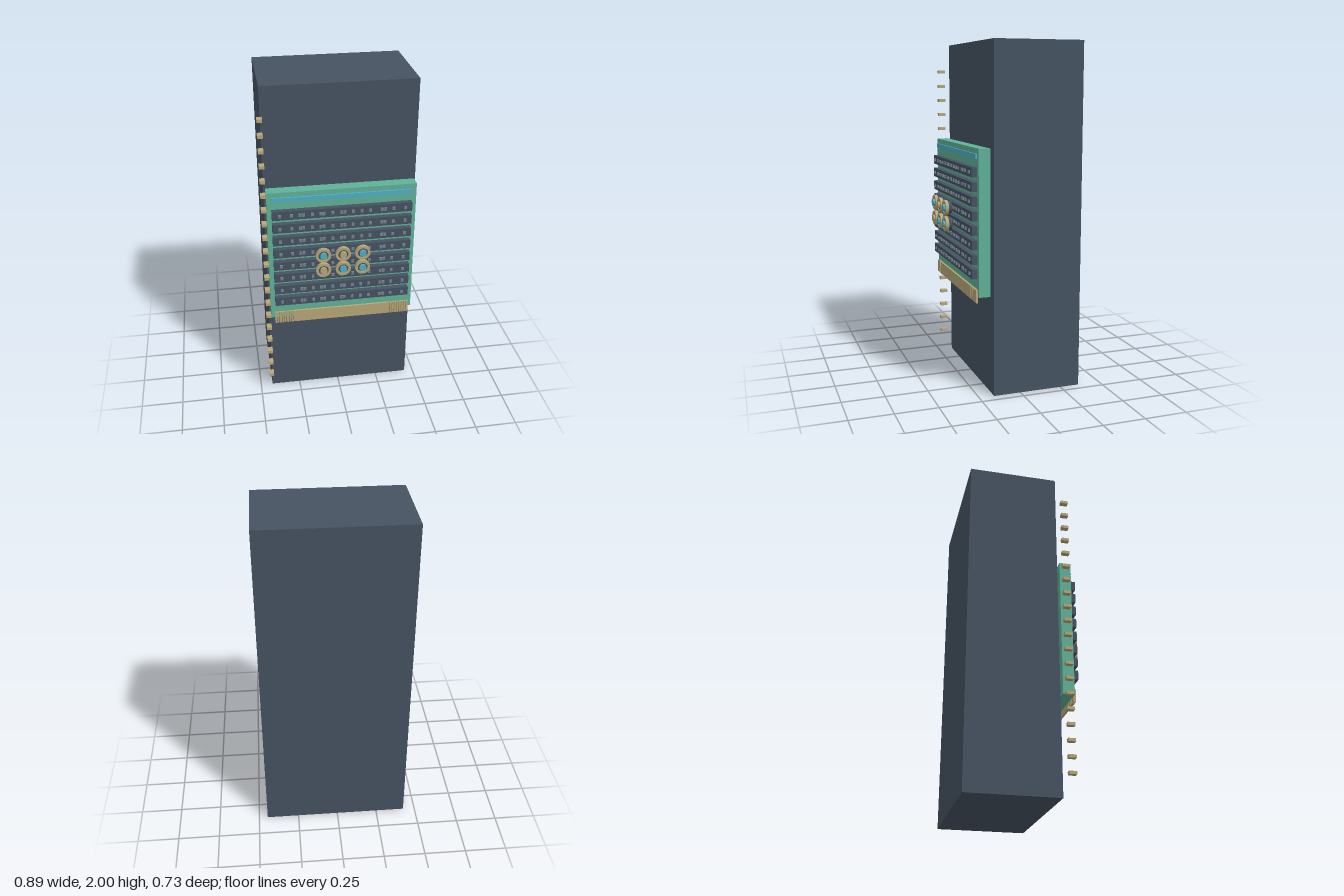
import * as THREE from 'three';

const paint = (name, color) => Object.assign(new THREE.MeshStandardMaterial({ color }), { name });

export function createModel() {
  const model = new THREE.Group();
  model.name = 'circuitCabinet';
  const slate = paint('slate', 0x465362);
  const grey = paint('grey', 0x74828f);
  const green = paint('green', 0x60b298);
  const gold = paint('gold', 0xb8a878);
  const blue = paint('blue', 0x4fb0c8);

  // Box given by its min and max corners
  const box = (name, mat, [x0, y0, z0], [x1, y1, z1], parent = model) => {
    const mesh = new THREE.Mesh(new THREE.BoxGeometry(x1 - x0, y1 - y0, z1 - z0), mat);
    mesh.position.set((x0 + x1) / 2, (y0 + y1) / 2, (z0 + z1) / 2);
    mesh.name = name;
    parent.add(mesh);
    return mesh;
  };
  const group = (name) => {
    const g = new THREE.Group();
    g.name = name;
    model.add(g);
    return g;
  };

  // Cabinet and the board in front of it
  box('cabinet', slate, [-0.427, 0, -0.366], [0.447, 2, 0.161]);
  box('board', green, [-0.418, 0.583, 0.179], [0.437, 1.414, 0.246]);
  box('lightStrip', blue, [-0.392, 1.357, 0.246], [0.409, 1.384, 0.255]);

  // Column of side pins
  const pins = group('sidePins');
  for (let i = 0; i < 20; i++) {
    const y = 0.133 + i * 0.0895;
    box('pin', gold, [-0.448, y - 0.009, 0.191], [-0.418, y + 0.009, 0.234], pins);
  }

  // Memory rows with small chips, single or in pairs
  const rows = group('memoryRows');
  const chipXs = [-0.35, -0.283, -0.235, -0.216, -0.166, -0.118, -0.1, -0.05, 0, 0.019,
    0.067, 0.117, 0.166, 0.233, 0.252, 0.3, 0.369];
  for (let i = 0; i < 8; i++) {
    const y = 0.712 + i * 0.0817;
    box('memoryRow', slate, [-0.392, y - 0.027, 0.246], [0.409, y + 0.027, 0.278], rows);
    for (const x of chipXs) {
      box('chip', grey, [x - 0.008, y - 0.009, 0.278], [x + 0.008, y + 0.009, 0.286], rows);
    }
  }

  // Edge connector: a solid middle with separate fingers at both ends
  const edge = group('edgeConnector');
  box('contactPlate', gold, [-0.283, 0.548, 0.246], [0.304, 0.624, 0.258], edge);
  for (let i = 0; i < 8; i++) {
    for (const x of [-0.397 + i * 0.0143, 0.3075 + i * 0.0143]) {
      box('contactFinger', gold, [x, 0.548, 0.246], [x + 0.011, 0.624, 0.258], edge);
    }
  }

  // Round ports: dark barrel, gold collar and a coloured core
  const collarGeo = new THREE.LatheGeometry(
    [[0.029, 0], [0.044, 0], [0.044, 0], [0.044, 0.019], [0.044, 0.019], [0.029, 0.019],
      [0.029, 0.019], [0.029, 0]].map(([r, y]) => new THREE.Vector2(r, y)), 24);
  const barrelGeo = new THREE.CylinderGeometry(0.036, 0.036, 0.022, 24);
  const faceGeo = new THREE.CylinderGeometry(0.029, 0.029, 0.014, 24);
  const coreGeo = new THREE.CylinderGeometry(0.02, 0.02, 0.016, 24);
  const cores = [[blue, gold, blue], [gold, blue, blue]];
  [1.05, 0.954].forEach((y, r) => [-0.114, 0, 0.113].forEach((x, c) => {
    const port = group('port');
    port.position.set(x, y, 0);
    port.rotation.x = Math.PI / 2;
    const add = (name, geo, mat, z) => {
      const mesh = new THREE.Mesh(geo, mat);
      mesh.name = name;
      mesh.position.y = z;
      port.add(mesh);
    };
    add('portBarrel', barrelGeo, slate, 0.325);
    add('portFace', faceGeo, slate, 0.342);
    add('portCollar', collarGeo, gold, 0.335);
    add('portCore', coreGeo, cores[r][c], 0.355);
  }));

  return model;
}
